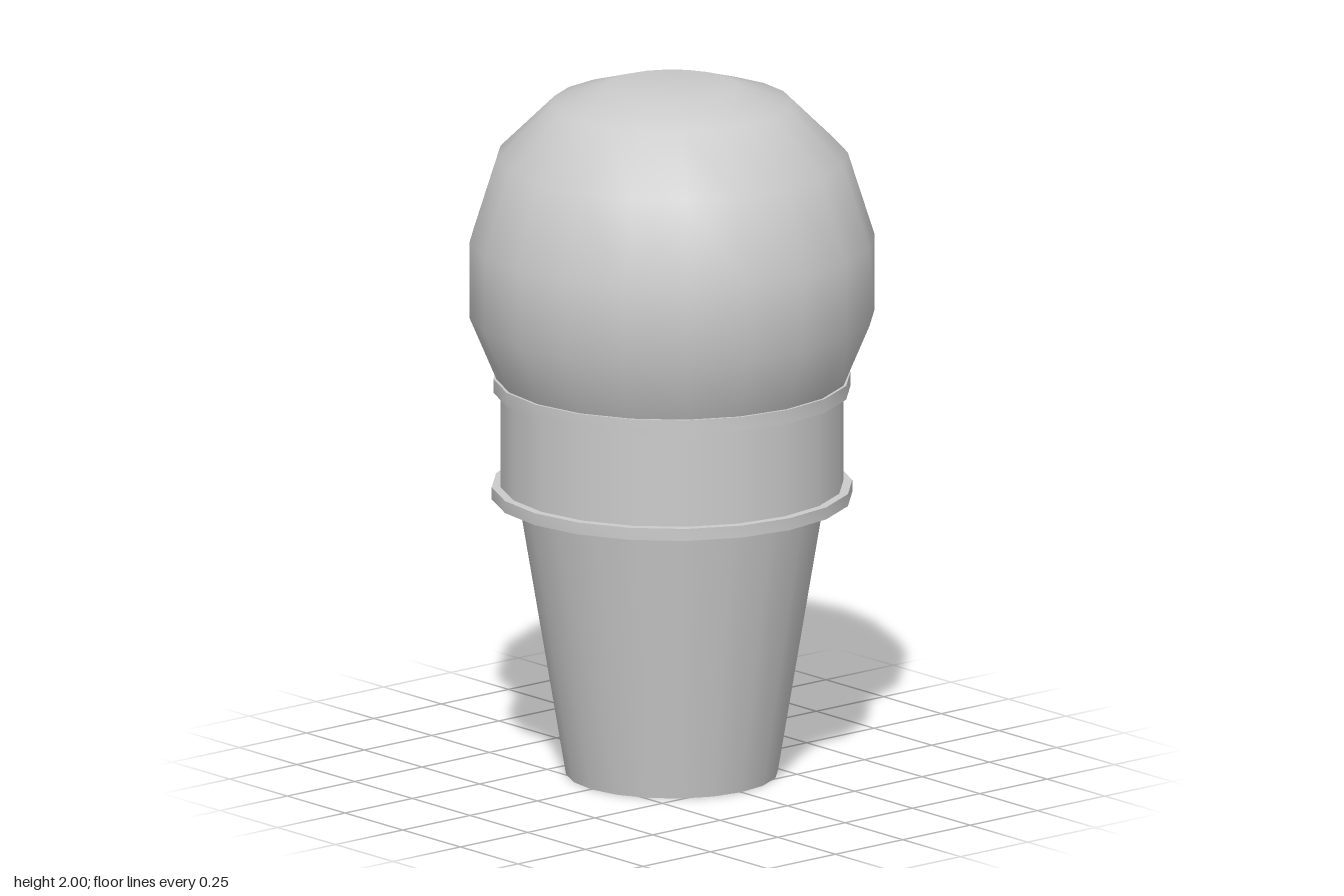
import * as THREE from 'three';
import { toCreasedNormals } from 'three/addons/utils/BufferGeometryUtils.js';

const SIDES = 20;

export function createModel() {
  const group = new THREE.Group();
  const material = new THREE.MeshStandardMaterial({ color: 0xcccccc, side: THREE.DoubleSide });

  // Turned part from [radius, height] points, listed so faces point outward
  function turned(name, points, crease) {
    let geometry = new THREE.LatheGeometry(points.map(([r, y]) => new THREE.Vector2(r, y)), SIDES);
    if (crease) geometry = toCreasedNormals(geometry, crease);
    const mesh = new THREE.Mesh(geometry, material);
    mesh.name = name;
    group.add(mesh);
  }

  // Flat-edged collar between two heights, open in the middle
  function rim(name, inner, outer, y0, y1) {
    turned(name, [[inner, y0], [outer, y0], [outer, y1], [inner, y1]], Math.PI / 6);
  }

  // Tapered wafer cone, open at the bottom
  turned('cone', [[0.3, 0], [0.435, 0.81]]);

  // Cup around the top of the cone
  rim('lowerRim', 0.43, 0.51, 0.805, 0.84);
  turned('cupBand', [[0.485, 0.84], [0.485, 1.115]]);
  rim('upperRim', 0.47, 0.505, 1.115, 1.155);

  // Smooth scoop with a slightly flattened top
  turned('scoop', [
    [0.475, 1.115], [0.497, 1.155], [0.573, 1.335], [0.573, 1.555],
    [0.497, 1.795], [0.34, 1.95], [0.18, 2], [0, 2],
  ]);

  return group;
}
